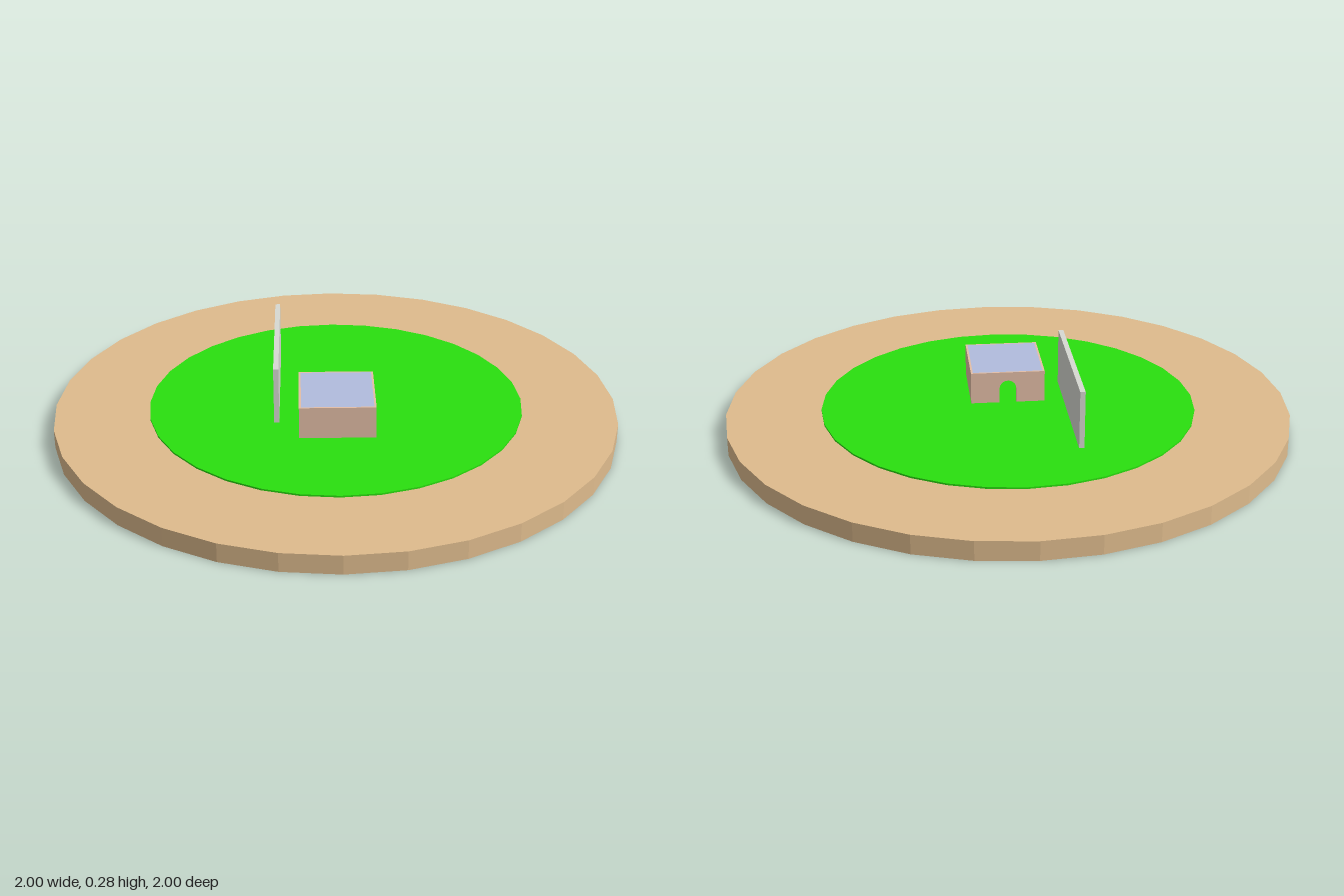
import * as THREE from 'three';

export function createModel() {
  const model = new THREE.Group();
  const baseTop = 0.067, floor = 0.073;

  function add(parent, name, geometry, color, x = 0, y = 0, z = 0) {
    const material = new THREE.MeshStandardMaterial({ color, flatShading: true });
    const mesh = new THREE.Mesh(geometry, material);
    mesh.name = name;
    mesh.position.set(x, y, z);
    parent.add(mesh);
    return mesh;
  }

  // Round ground plate with a thin lawn on it
  add(model, 'groundPlate', new THREE.CylinderGeometry(1, 1, baseTop, 32), 0xdebb8d, 0, baseTop / 2, 0);
  add(model, 'lawn', new THREE.CylinderGeometry(0.665, 0.665, floor - baseTop, 32), 0x2adf0f, 0, (floor + baseTop) / 2, 0);

  // Free-standing wall
  add(model, 'screenWall', new THREE.BoxGeometry(0.018, 0.205, 0.565), 0xd7d9d2, -0.21, floor + 0.1025, -0.118);

  // Hollow hut with an arched doorway at the back
  const hut = new THREE.Group();
  hut.name = 'hut';
  hut.position.set(0, floor, 0.14);
  model.add(hut);
  const w = 0.264, d = 0.28, h = 0.115, t = 0.007, pink = 0xe3bea6;
  for (const s of [-1, 1]) {
    add(hut, s > 0 ? 'leftWall' : 'rightWall', new THREE.BoxGeometry(t, h, d - 2 * t), pink, s * (w - t) / 2, h / 2, 0);
  }
  add(hut, 'frontWall', new THREE.BoxGeometry(w, h, t), pink, 0, h / 2, (d - t) / 2);

  // Back wall outlined around the doorway
  const r = 0.03, spring = 0.053;
  const outline = new THREE.Shape();
  outline.moveTo(-w / 2, 0);
  outline.lineTo(-r, 0);
  outline.lineTo(-r, spring);
  outline.absarc(0, spring, r, Math.PI, 0, true);
  outline.lineTo(r, 0);
  outline.lineTo(w / 2, 0);
  outline.lineTo(w / 2, h);
  outline.lineTo(-w / 2, h);
  const back = new THREE.ExtrudeGeometry(outline, { depth: t, bevelEnabled: false, curveSegments: 12 });
  add(hut, 'backWall', back, pink, 0, 0, -d / 2);

  // Flat roof set between the walls
  add(hut, 'roof', new THREE.BoxGeometry(w - 2 * t, t, d - 2 * t), 0xb1bcdd, 0, h - t / 2, 0);

  return model;
}
